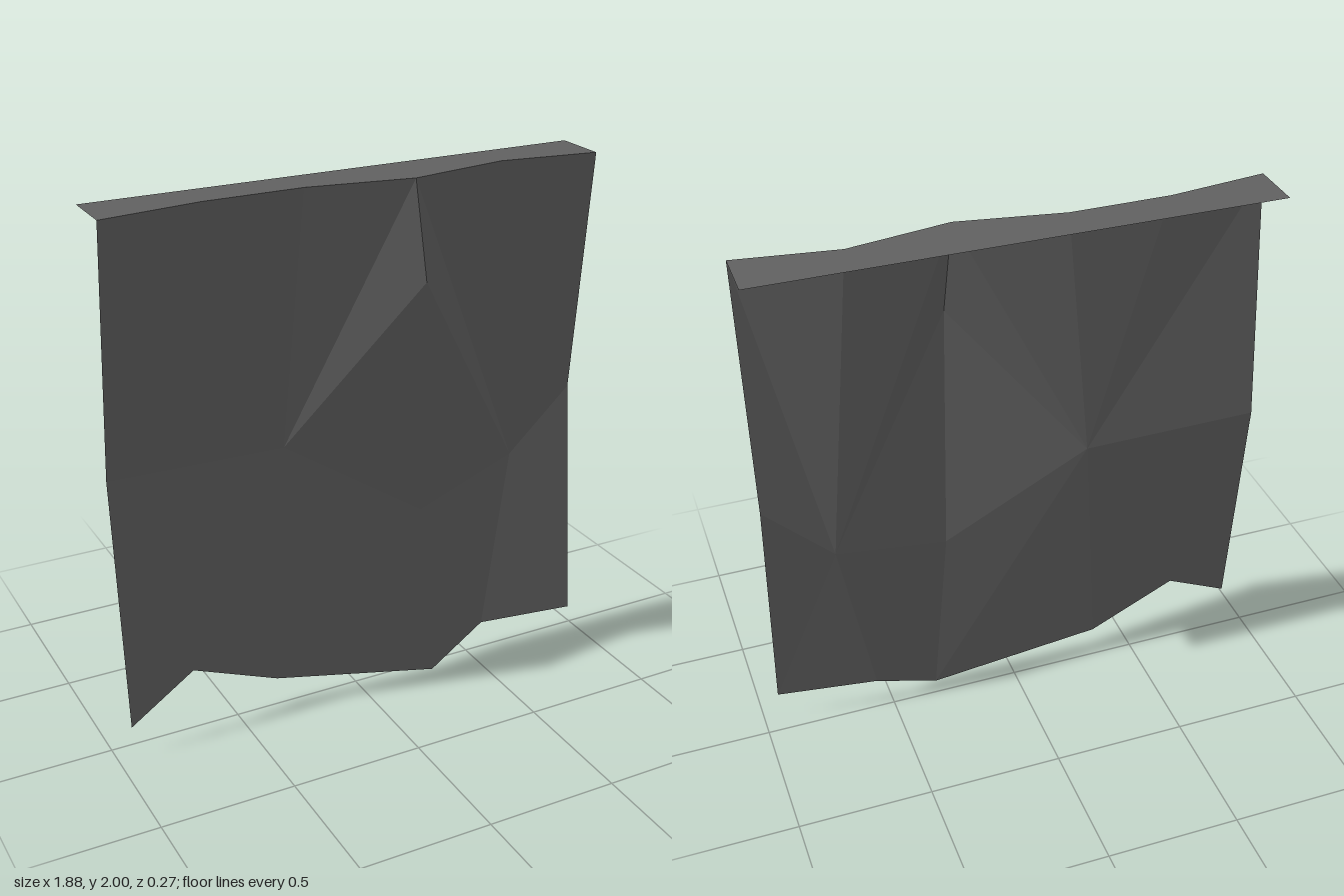
import * as THREE from 'three';

// Folded facets from named corner points
function facets(name, points, polygons, material) {
  const pos = [];
  for (const poly of polygons) {
    const c = poly.split(' ').map((k) => points[k]);
    for (let i = 1; i < c.length - 1; i++) pos.push(...c[0], ...c[i], ...c[i + 1]);
  }
  const geo = new THREE.BufferGeometry();
  geo.setAttribute('position', new THREE.Float32BufferAttribute(pos, 3));
  geo.computeVertexNormals();
  const mesh = new THREE.Mesh(geo, material);
  mesh.name = name;
  return mesh;
}

export function createModel() {
  const group = new THREE.Group();
  group.name = 'hangingCloth';

  const cloth = new THREE.MeshStandardMaterial({ color: 0x606060, side: THREE.DoubleSide, flatShading: true });
  cloth.name = 'grey cloth';

  const p = {
    // top edge
    t0: [-0.94, 2, 0.067], t1: [-0.57, 2, 0.018], t2: [-0.2, 2, 0.015],
    t3: [0.19, 2, 0.08], t4: [0.57, 2, 0.015], t5: [0.94, 2, 0.067],
    // folds across the middle
    left: [-0.94, 1.06, -0.025], dip: [-0.275, 1.05, -0.025], peak: [0.21, 1.64, 0.132],
    low: [0.255, 0.71, 0.04], hollow: [0.69, 0.82, -0.032], right: [0.94, 1.06, -0.025],
    // ragged hem
    b0: [-0.94, 0.12, 0.067], b1: [-0.68, 0.265, 0.03], b2: [-0.34, 0.12, 0.012],
    b3: [0.31, 0, 0.06], b4: [0.56, 0.12, 0.013], b5: [0.94, 0.12, 0.067],
    // back edge of the flap
    f0: [-0.94, 2, -0.135], f1: [0.94, 2, -0.135],
  };

  // Hanging sheet, corners counter-clockwise from the front
  group.add(facets('hangingSheet', p, [
    'dip t1 t0 left', 'dip t2 t1', 'dip peak t3 t2', 'hollow t4 t3 peak', 'hollow right t5 t4',
    'dip low peak', 'low hollow peak',
    'left b0 b1 dip', 'dip b1 b2', 'dip b2 b3 low', 'low b3 b4 hollow', 'hollow b4 b5 right',
  ], cloth));

  // Flat flap folded back along the top
  group.add(facets('topFlap', p, [
    'f0 t0 t1', 'f0 t1 t2', 'f0 t2 f1', 'f1 t2 t3', 'f1 t3 t4', 'f1 t4 t5',
  ], cloth));

  return group;
}
